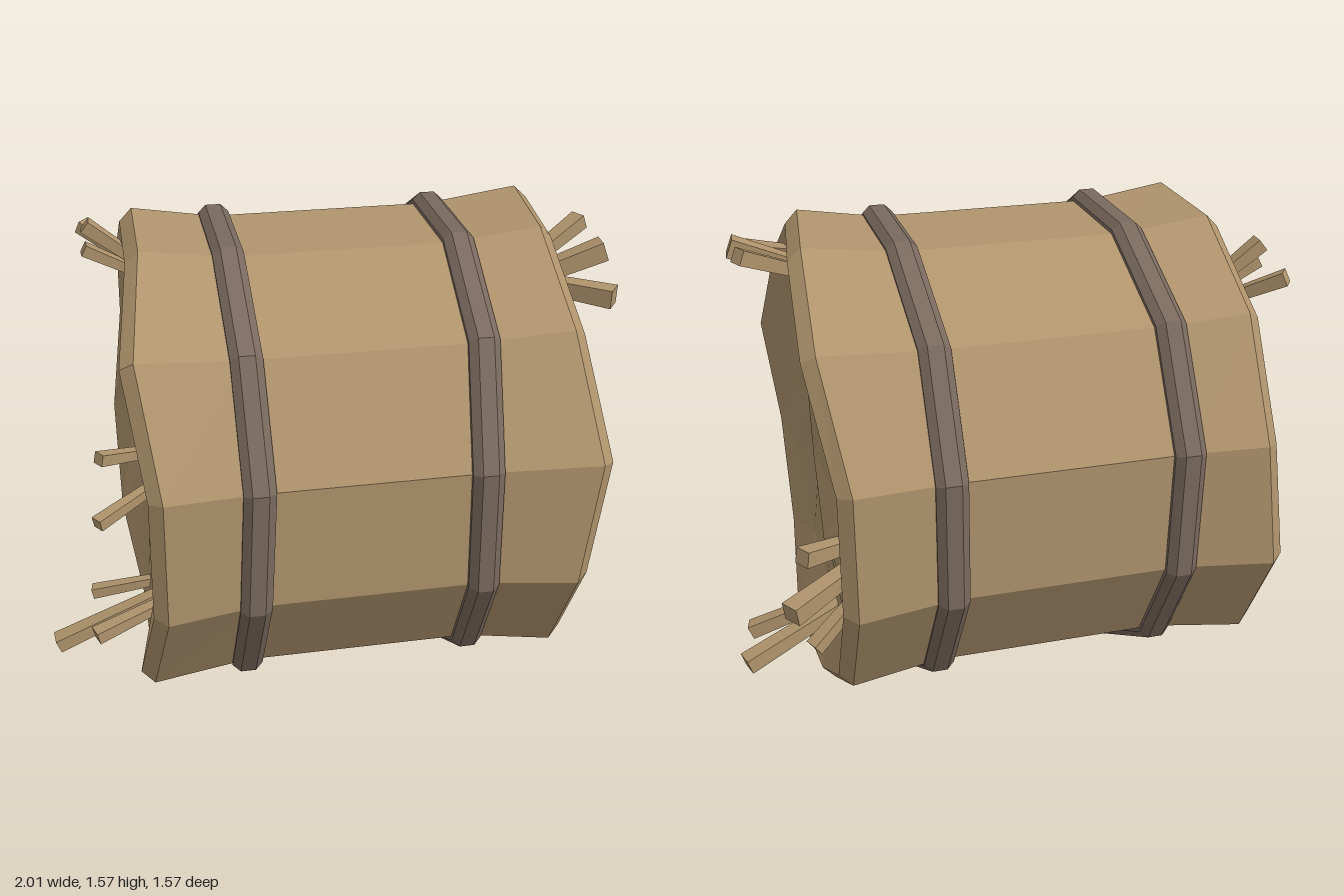
import * as THREE from 'three';

const SIDES = 12, CENTER_Y = 0.785, TO_CORNER = 1 / Math.cos(Math.PI / SIDES);
const hay = new THREE.MeshStandardMaterial({ name: 'hay', color: 0xb0946d, flatShading: true });
const twine = new THREE.MeshStandardMaterial({ name: 'twine', color: 0x7a6a5e, flatShading: true });

// one twelve-sided section round the x axis; x(i) and apothem give its corners
function ring(apothem, x, turn = 0) {
  return Array.from({ length: SIDES }, (_, i) => {
    const a = ((i + 0.5) / SIDES) * Math.PI * 2 + turn;
    const r = apothem * TO_CORNER;
    return new THREE.Vector3(x(i), CENTER_Y + r * Math.cos(a), r * Math.sin(a));
  });
}

// skin a list of rings running from -x to +x
function loft(rings) {
  const points = [];
  const tri = (a, b, c) => {
    if (a.distanceTo(b) > 1e-5 && b.distanceTo(c) > 1e-5 && a.distanceTo(c) > 1e-5) points.push(a, b, c);
  };
  for (let r = 0; r < rings.length - 1; r++) {
    for (let i = 0; i < SIDES; i++) {
      const j = (i + 1) % SIDES, p = rings[r], q = rings[r + 1];
      tri(p[i], p[j], q[i]);
      tri(p[j], q[j], q[i]);
    }
  }
  const g = new THREE.BufferGeometry().setFromPoints(points);
  g.computeVertexNormals();
  return g;
}

// uneven rim and twine positions, clockwise from the top
const rimR = [-0.66, -0.71, -0.66, -0.665, -0.71, -0.66, -0.66, -0.71, -0.71, -0.66, -0.66, -0.655];
const rimL = [0.71, 0.72, 0.77, 0.72, 0.72, 0.76, 0.73, 0.72, 0.72, 0.72, 0.775, 0.755];
const twineR = [-0.34, -0.335, -0.33, -0.35, -0.36, -0.33, -0.33, -0.36, -0.36, -0.37, -0.365, -0.34];
const twineL = [0.4, 0.395, 0.37, 0.375, 0.39, 0.4, 0.4, 0.39, 0.38, 0.38, 0.38, 0.4];
// rumpling of the hollow ends, shared by both
const innerShift = [0.025, 0.025, 0.015, 0.005, 0.02, 0.025, 0.035, 0.065, 0.01, 0.005, 0.01, 0.07];
const outerShift = [0.02, 0.035, 0.045, 0.04, 0.03, 0.02, 0.015, 0.02, 0.02, 0.015, 0.015, 0.02];

// hollow end: apex, inner ring, twisted outer ring, rim, flared edge
function endRings(rim, side) {
  return [
    ring(0, () => side * 0.66 + 0.03),
    ring(0.3, (i) => side * 0.635 + innerShift[i]),
    ring(0.54, (i) => side * 0.64 + outerShift[i], 0.23),
    ring(0.745, (i) => rim[i]),
    ring(0.785, (i) => rim[i] - side * 0.042),
  ];
}

// straw stalks: base x, y, z, tip x, y, z, tip width, tip thickness
const stalks = [
  [0.6, 1.4, 0.22, 0.86, 1.39, 0.41, 0.065, 0.06],
  [0.58, 1.35, 0.165, 0.9, 1.47, 0.19, 0.065, 0.065],
  [0.6, 1.36, 0.12, 0.89, 1.5, -0.02, 0.055, 0.05],
  [0.6, 0.765, -0.6, 0.83, 0.81, -0.75, 0.055, 0.05],
  [0.58, 0.645, -0.5, 0.87, 0.585, -0.69, 0.065, 0.06],
  [0.6, 0.57, -0.54, 0.8, 0.415, -0.63, 0.05, 0.04],
  [0.58, 0.27, -0.12, 0.99, 0.13, -0.24, 0.06, 0.055],
  [0.58, 0.27, -0.08, 0.95, 0.11, 0, 0.055, 0.05],
  [-0.58, 1.31, -0.34, -0.78, 1.43, -0.48, 0.055, 0.045],
  [-0.58, 1.34, -0.29, -0.77, 1.49, -0.3, 0.055, 0.045],
  [-0.58, 1.31, -0.27, -0.78, 1.42, -0.26, 0.05, 0.04],
  [-0.58, 1.05, 0.53, -0.79, 1.11, 0.67, 0.04, 0.035],
  [-0.58, 0.97, 0.55, -0.81, 0.915, 0.71, 0.04, 0.035],
  [-0.58, 0.2, 0.03, -0.99, 0.05, 0.07, 0.065, 0.05],
  [-0.58, 0.2, 0.09, -0.85, 0.14, 0.18, 0.055, 0.045],
  [-0.58, 0.19, -0.07, -0.85, 0.135, -0.11, 0.045, 0.04],
];

// box stalk along z, narrower at its root
function stalkGeometry(width, thickness, length) {
  const g = new THREE.BoxGeometry(width, thickness, length);
  const p = g.attributes.position;
  for (let i = 0; i < p.count; i++) {
    if (p.getZ(i) < 0) p.setXY(i, p.getX(i) * 0.75, p.getY(i) * 0.75);
  }
  g.computeVertexNormals();
  return g;
}

export function createModel() {
  const model = new THREE.Group();
  model.name = 'hayBale';
  const add = (geometry, material, name) => {
    const mesh = new THREE.Mesh(geometry, material);
    mesh.name = name;
    model.add(mesh);
    return mesh;
  };

  // bale, pinched in where the twine goes round
  add(loft([
    ...endRings(rimR, -1),
    ring(0.745, (i) => twineR[i]),
    ring(0.745, (i) => twineL[i]),
    ...endRings(rimL, 1).reverse(),
  ]), hay, 'bale');

  // two bevelled twine bands
  const band = [[-0.05, 0.735], [-0.05, 0.758], [-0.025, 0.781], [0.025, 0.781], [0.05, 0.758], [0.05, 0.735]];
  for (const [path, name] of [[twineR, 'rightTwine'], [twineL, 'leftTwine']]) {
    add(loft(band.map(([dx, a]) => ring(a, (i) => path[i] + dx))), twine, name);
  }

  // loose stalks poking out of both ends
  for (const [x0, y0, z0, x1, y1, z1, w, t] of stalks) {
    const base = new THREE.Vector3(x0, y0, z0), tip = new THREE.Vector3(x1, y1, z1);
    const stalk = add(stalkGeometry(w, t, base.distanceTo(tip)), hay, 'stalk');
    stalk.position.copy(base).lerp(tip, 0.5);
    stalk.lookAt(tip);
  }
  return model;
}
